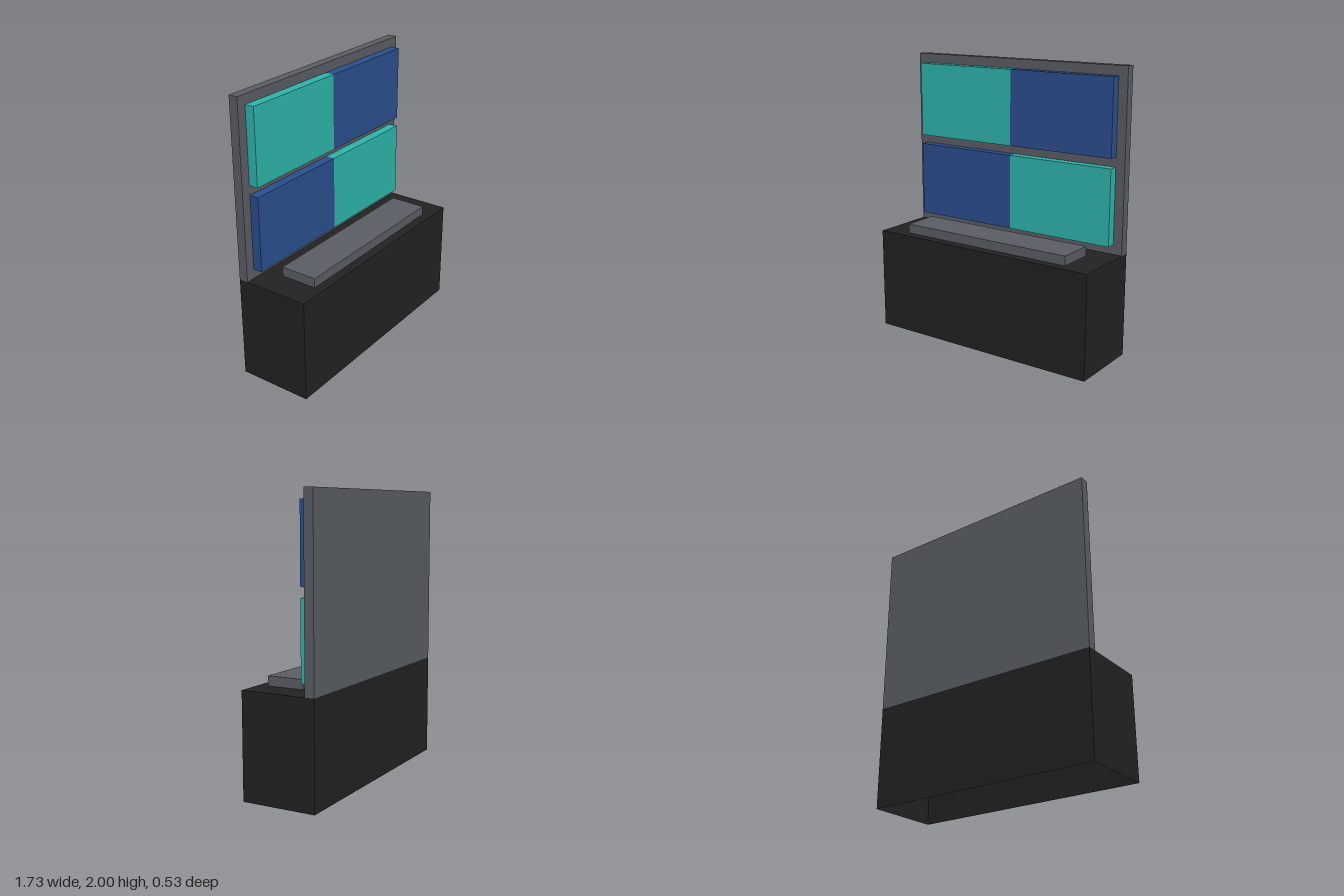
import * as THREE from 'three';

const U = 2 / 30; // one block unit

const material = (name, color) => {
  const m = new THREE.MeshStandardMaterial({ color });
  m.name = name;
  return m;
};

// Box given by its minimum and maximum corners, in block units
function block(name, mat, [x0, y0, z0], [x1, y1, z1]) {
  const geometry = new THREE.BoxGeometry((x1 - x0) * U, (y1 - y0) * U, (z1 - z0) * U);
  const mesh = new THREE.Mesh(geometry, mat);
  mesh.name = name;
  mesh.position.set((x0 + x1) / 2 * U, (y0 + y1) / 2 * U, (z0 + z1) / 2 * U);
  return mesh;
}

export function createModel() {
  const black = material('black', 0x222222);
  black.side = THREE.DoubleSide; // the cabinet is an open shell
  const grey = material('grey', 0x5a5d64);
  const teal = material('teal', 0x2db5ab);
  const blue = material('blue', 0x2b4f8e);

  const group = new THREE.Group();
  group.name = 'consoleWithScreens';

  // Cabinet, open underneath: drop the bottom face
  const cabinet = block('cabinet', black, [-13, 0, -4], [13, 11, 4]);
  const faces = Array.from(cabinet.geometry.index.array);
  faces.splice(18, 6);
  cabinet.geometry.setIndex(faces);
  cabinet.geometry.clearGroups();
  group.add(cabinet);

  // Upright board along the back and control panel on the desk top
  group.add(block('backBoard', grey, [-13, 11, -4], [13, 30, -3]));
  group.add(block('controlPanel', grey, [-10, 11, -1], [10, 12, 3]));

  // Two rows of screens in alternating colours
  [['lower', 12, blue, teal], ['upper', 21, teal, blue]].forEach(([row, y, right, left]) => {
    group.add(block(row + 'RightScreen', right, [-12, y, -3], [0, y + 8, -2]));
    group.add(block(row + 'LeftScreen', left, [0, y, -3], [12, y + 8, -2]));
  });

  return group;
}
